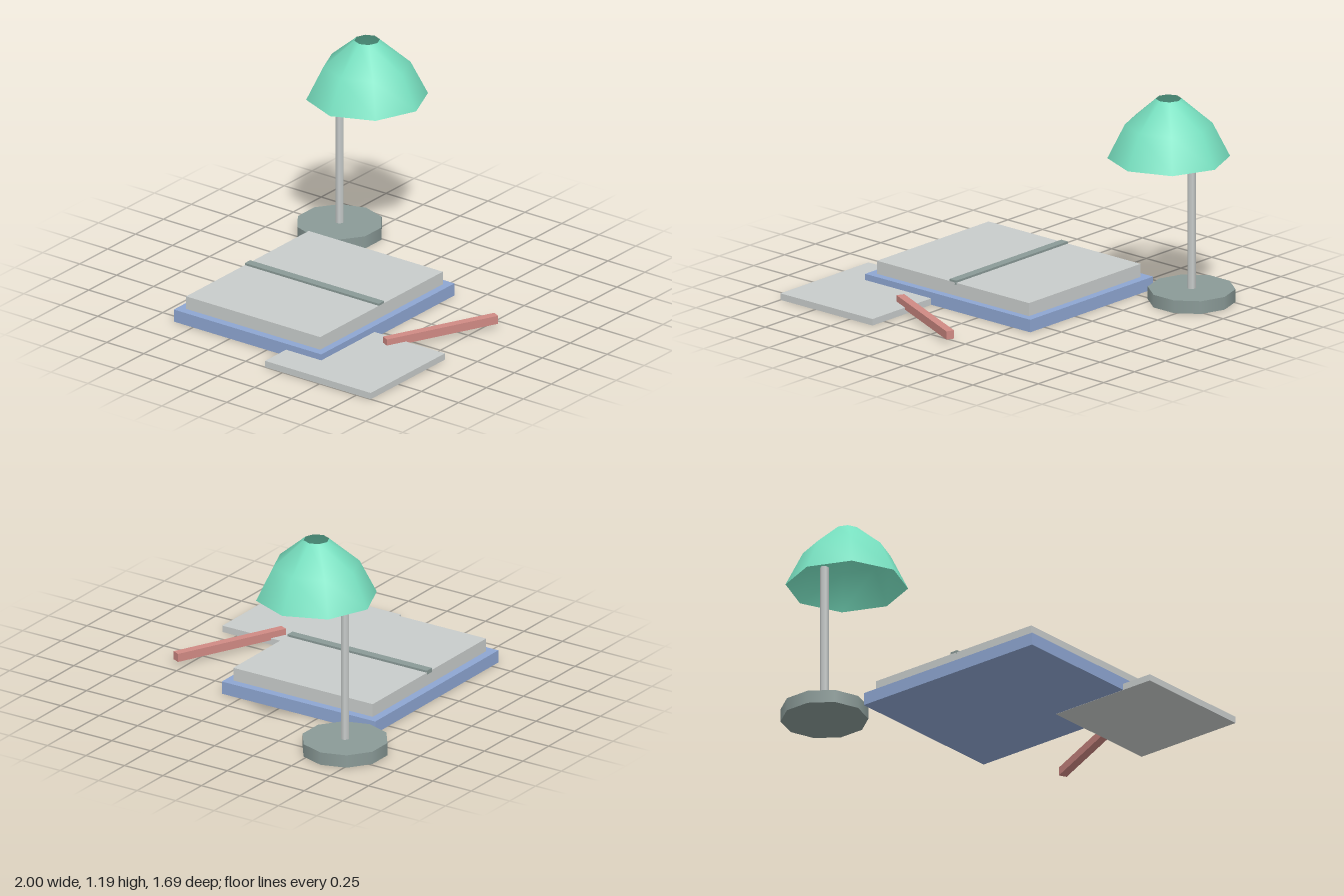
import * as THREE from 'three';

const paint = (name, color, side = THREE.FrontSide) => {
  const m = new THREE.MeshStandardMaterial({ color });
  m.name = name;
  m.side = side;
  return m;
};

export function createModel() {
  const model = new THREE.Group();
  model.name = 'deskSet';

  const paper = paint('paperGrey', 0xc8cccb);
  const slate = paint('slateGrey', 0x8a9a97);
  const blue = paint('coverBlue', 0x8ea6d2);
  const red = paint('pencilRed', 0xd08a84);
  const green = paint('shadeGreen', 0x78e0c0, THREE.DoubleSide);

  const add = (parent, name, geometry, material, x, y, z) => {
    const mesh = new THREE.Mesh(geometry, material);
    mesh.name = name;
    mesh.position.set(x, y, z);
    parent.add(mesh);
    return mesh;
  };

  // Box given by its limits on each axis
  const slab = (parent, name, material, [x0, x1], [y0, y1], [z0, z1]) =>
    add(parent, name, new THREE.BoxGeometry(x1 - x0, y1 - y0, z1 - z0), material,
      (x0 + x1) / 2, (y0 + y1) / 2, (z0 + z1) / 2);

  // Open book: cover, page block and the strip along the middle
  const book = new THREE.Group();
  book.name = 'book';
  slab(book, 'cover', blue, [-0.812, 0.38], [0.001, 0.072], [-0.628, 0.369]);
  slab(book, 'pages', paper, [-0.765, 0.333], [0.072, 0.146], [-0.58, 0.326]);
  slab(book, 'spineStrip', slate, [-0.24, -0.192], [0.134, 0.158], [-0.58, 0.326]);
  model.add(book);

  // Loose sheet tucked under the front corner of the book
  slab(model, 'sheet', paper, [-1, -0.335], [0, 0.037], [0.131, 0.845]);

  // Pencil lying at an angle across the sheet
  const pencil = add(model, 'pencil', new THREE.BoxGeometry(0.68, 0.047, 0.046), red, -0.123, 0.049, 0.655);
  pencil.rotation.y = THREE.MathUtils.degToRad(-25);

  // Lamp: ten-sided foot, six-sided pole, open eight-sided shade
  const lamp = new THREE.Group();
  lamp.name = 'lamp';
  const foot = add(lamp, 'lampFoot', new THREE.CylinderGeometry(0.238, 0.238, 0.072, 10), slate, 0.664, 0.036, -0.622);
  foot.rotation.y = Math.PI / 2;
  add(lamp, 'lampPole', new THREE.CylinderGeometry(0.024, 0.024, 0.85, 6), paper, 0.664, 0.482, -0.622);
  const profile = [[0.332, 0], [0.237, 0.19], [0.07, 0.333]].map(([r, y]) => new THREE.Vector2(r, y));
  add(lamp, 'lampShade', new THREE.LatheGeometry(profile, 8), green, 0.664, 0.861, -0.436);
  model.add(lamp);

  return model;
}
